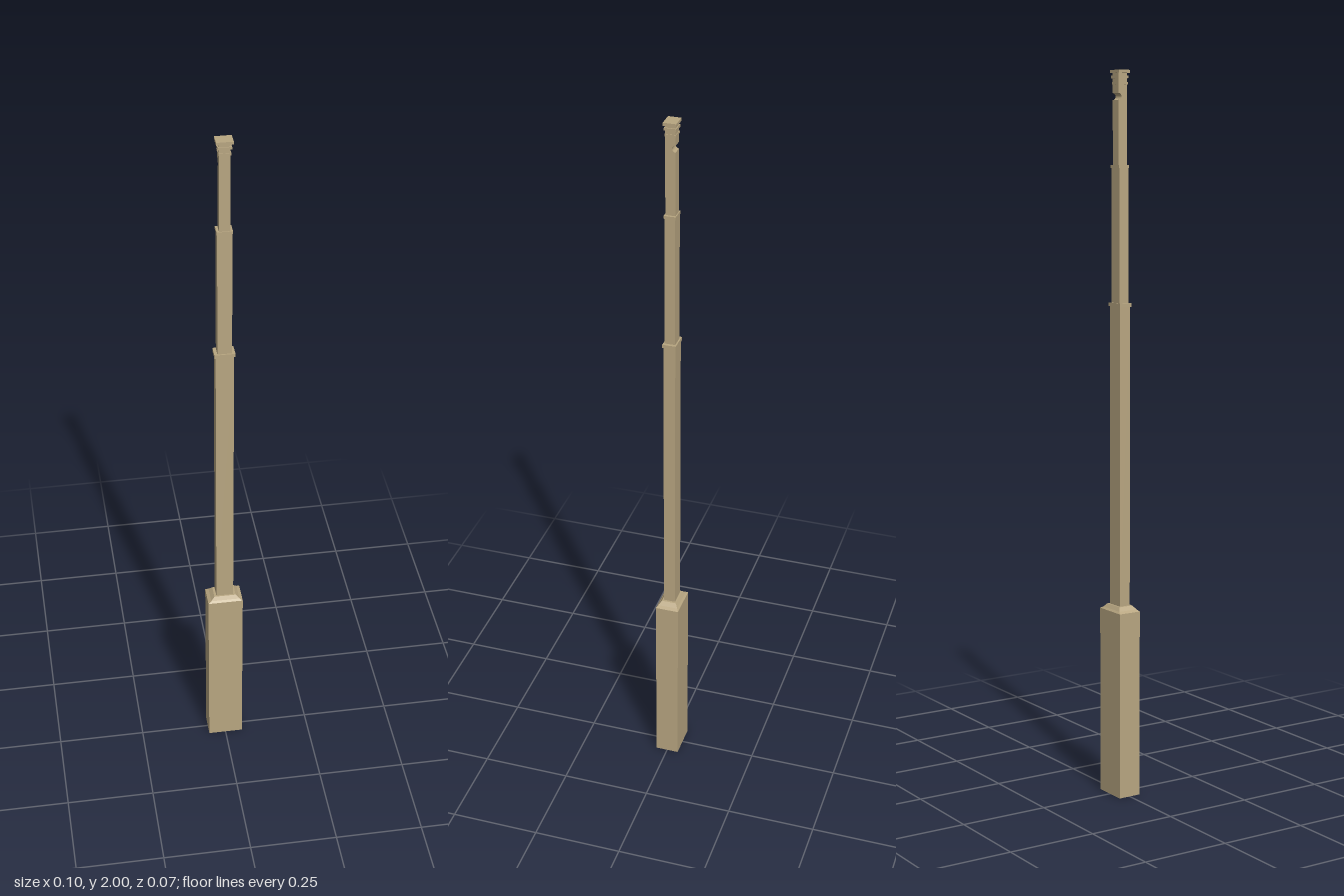
import * as THREE from 'three';

const stone = new THREE.MeshStandardMaterial({ color: 0xb8a681 });
stone.name = 'sandstone';

export function createModel() {
  const model = new THREE.Group();
  model.name = 'tower';

  const add = (name, geometry) => {
    const mesh = new THREE.Mesh(geometry, stone);
    mesh.name = name;
    model.add(mesh);
    return mesh;
  };

  // Box given by half width, half depth, bottom and top
  const block = (name, hx, hz, y0, y1) => {
    add(name, new THREE.BoxGeometry(2 * hx, y1 - y0, 2 * hz)).position.y = (y0 + y1) / 2;
  };

  // Box whose top is narrower than its bottom
  const taper = (name, hx0, hz0, hx1, hz1, y0, y1) => {
    const geometry = new THREE.BoxGeometry(2, 1, 2);
    const p = geometry.attributes.position;
    for (let i = 0; i < p.count; i++) {
      const top = p.getY(i) > 0;
      p.setXYZ(i, p.getX(i) * (top ? hx1 : hx0), top ? y1 : y0, p.getZ(i) * (top ? hz1 : hz0));
    }
    geometry.computeVertexNormals();
    add(name, geometry);
  };

  // Broad base with stepped shoulders
  block('base', 0.05, 0.033, 0, 0.525);
  taper('lowerShoulder', 0.05, 0.033, 0.041, 0.028, 0.525, 0.53);
  taper('upperShoulder', 0.041, 0.028, 0.031, 0.021, 0.53, 0.54);

  // Telescoping shaft with thin lips
  block('lowerShaft', 0.0245, 0.0165, 0.54, 1.368);
  block('lowerLip', 0.028, 0.0185, 1.368, 1.378);
  block('middleShaft', 0.0195, 0.0145, 1.378, 1.74);
  block('middleLip', 0.021, 0.016, 1.74, 1.748);

  // Top shaft, a side profile with a round notch cut into the back
  const hx = 0.0145, hz = 0.0135, notchY = 1.93, r = 0.009;
  const side = new THREE.Shape();
  side.moveTo(-hz, 1.748);
  side.lineTo(hz, 1.748);
  side.lineTo(hz, notchY - r);
  side.absarc(hz, notchY, r, -Math.PI / 2, Math.PI / 2, true);
  side.lineTo(hz, 1.992);
  side.lineTo(-hz, 1.992);
  side.closePath();
  const shaft = new THREE.ExtrudeGeometry(side, { depth: 2 * hx, bevelEnabled: false, curveSegments: 8 });
  shaft.translate(0, 0, -hx).rotateY(Math.PI / 2);
  add('topShaft', shaft);

  // Mouldings and cap
  block('lowerMoulding', 0.016, 0.015, 1.962, 1.968);
  block('upperMoulding', 0.018, 0.016, 1.978, 1.985);
  block('cap', 0.022, 0.0175, 1.992, 2);

  return model;
}
